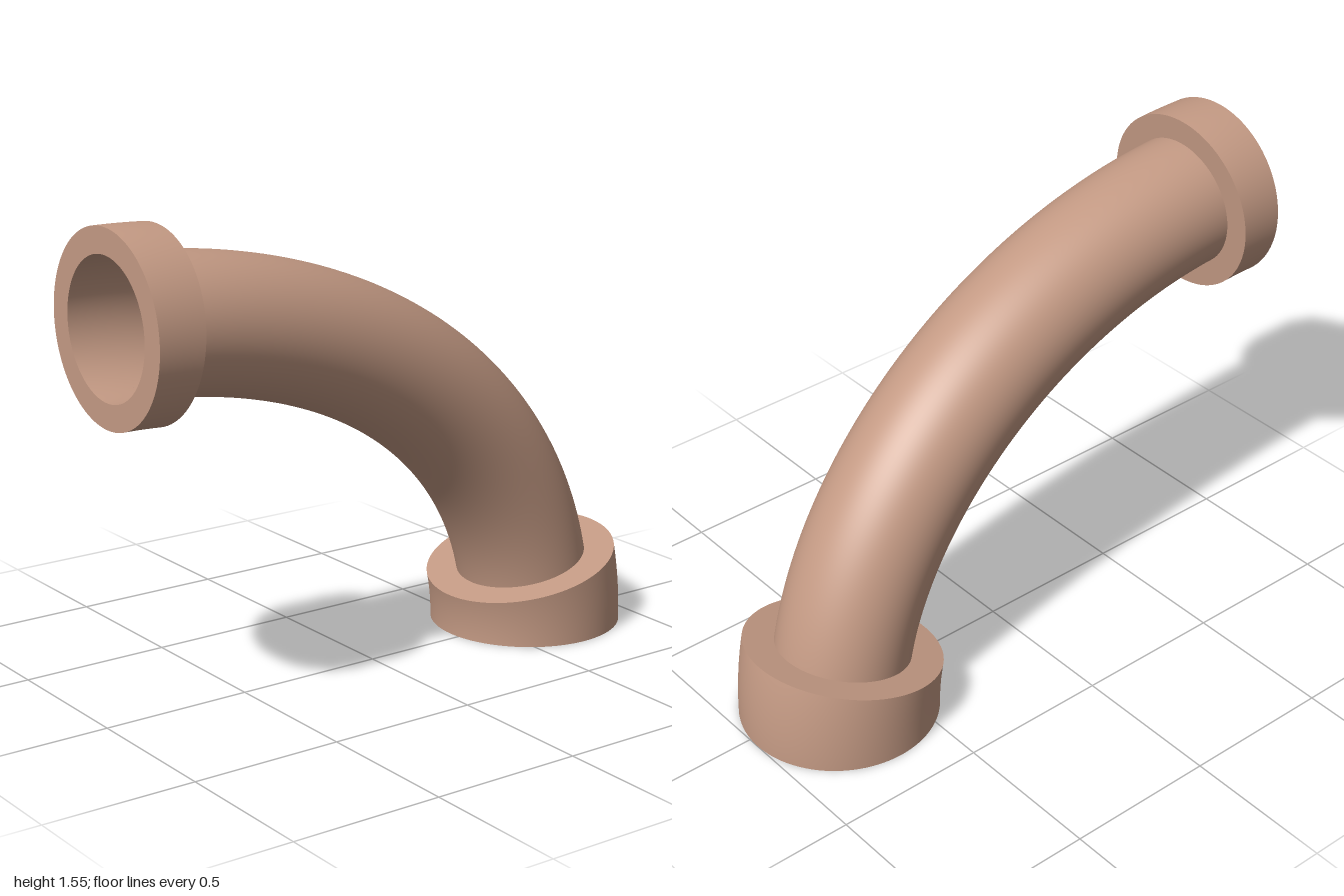
import * as THREE from 'three';
import { ParametricGeometry } from 'three/addons/geometries/ParametricGeometry.js';

const PIPE_RADIUS = 0.22;

// Frame of the centreline: a quarter ellipse that drifts gently sideways
function frameAt(t) {
  const a = (1 - t) * Math.PI / 2;
  const drift = (1 - Math.cos(Math.PI * t)) / 2;
  const centre = new THREE.Vector3(-1 + 1.677 * Math.cos(a), 1.253 * Math.sin(a), 0.06 - 0.1 * drift);
  const tangent = new THREE.Vector3(
    1.677 * Math.sin(a), -1.253 * Math.cos(a), -0.1 * Math.sin(Math.PI * t)
  ).normalize();
  const side = new THREE.Vector3(-tangent.y, tangent.x, 0).normalize().cross(tangent).normalize();
  const normal = tangent.clone().cross(side);
  return { centre, normal, side };
}

// Surface swept round the centreline from (t0, r0) to (t1, r1)
function sweep(t0, r0, t1, r1, slices) {
  return new ParametricGeometry((u, v, target) => {
    const { centre, normal, side } = frameAt(t0 + (t1 - t0) * u);
    const r = r0 + (r1 - r0) * u;
    const angle = v * Math.PI * 2;
    target.copy(centre)
      .addScaledVector(normal, r * Math.cos(angle))
      .addScaledVector(side, r * Math.sin(angle));
  }, slices, 96);
}

export function createModel() {
  const group = new THREE.Group();
  group.name = 'pipeElbow';
  const copper = new THREE.MeshStandardMaterial({ color: 0xc49a84, side: THREE.DoubleSide });
  copper.name = 'copper';

  const add = (parent, name, geometry) => {
    const mesh = new THREE.Mesh(geometry, copper);
    mesh.name = name;
    parent.add(mesh);
  };

  // Open bent pipe
  add(group, 'pipe', sweep(0, PIPE_RADIUS, 1, PIPE_RADIUS, 80));

  // Collars that follow the bend at both ends
  const collars = [
    ['upperCollar', 0, 0.057, 0.302],
    ['lowerCollar', 0.888, 1, 0.3225],
  ];
  for (const [name, t0, t1, radius] of collars) {
    const collar = new THREE.Group();
    collar.name = name;
    add(collar, name + 'StartFace', sweep(t0, PIPE_RADIUS, t0, radius, 1));
    add(collar, name + 'Wall', sweep(t0, radius, t1, radius, 10));
    add(collar, name + 'EndFace', sweep(t1, radius, t1, PIPE_RADIUS, 1));
    group.add(collar);
  }
  return group;
}
